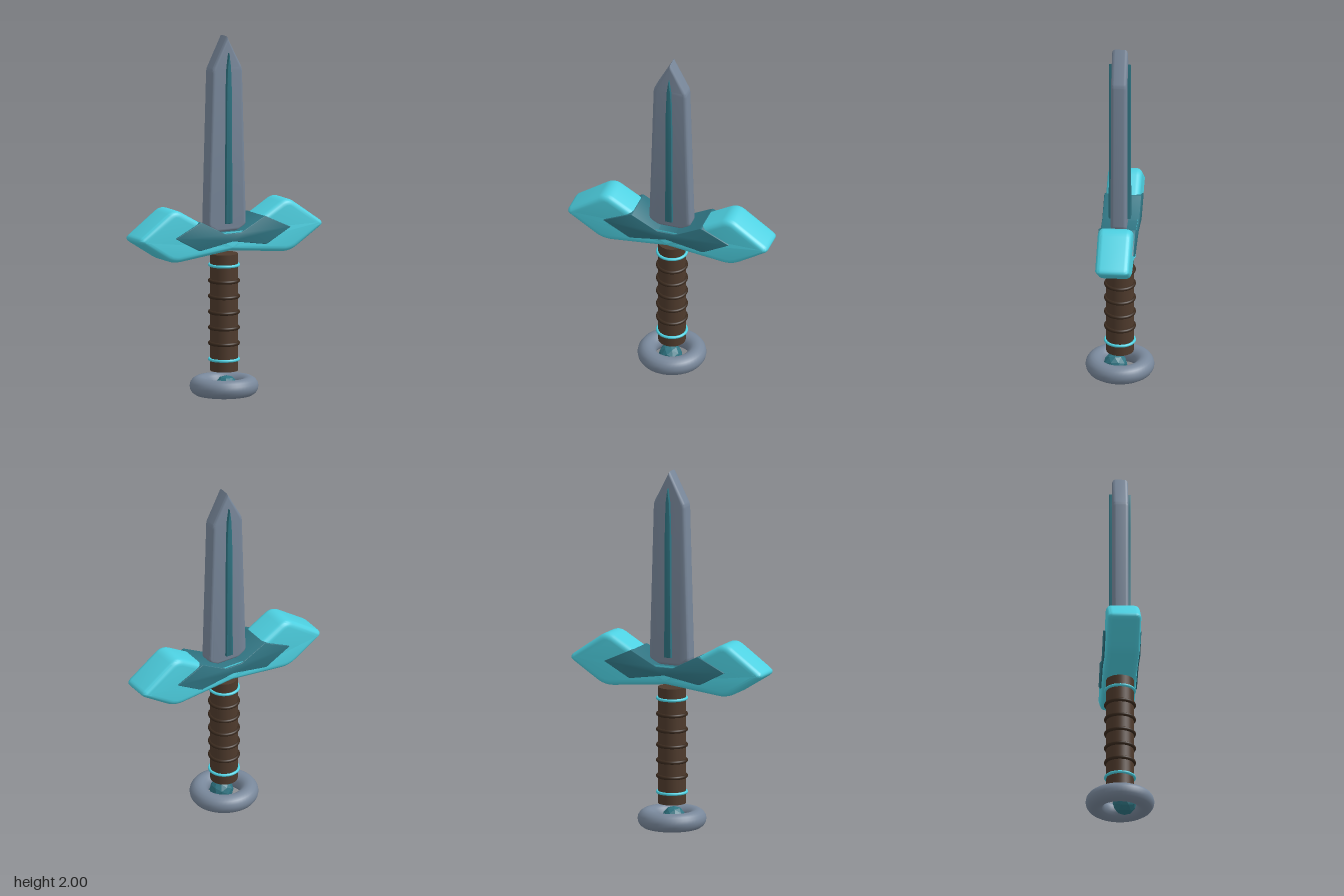
import * as THREE from 'three';
import { toCreasedNormals } from 'three/addons/utils/BufferGeometryUtils.js';

const mat = (color) => new THREE.MeshStandardMaterial({ color });
const STEEL = mat(0x78879a), CYAN = mat(0x4dd0e1), TEAL = mat(0x2f7482);
const LEATHER = mat(0x4e3a2c), CORD = mat(0x3a2a1e);

// Mirror a right-hand half outline (bottom to top) across x = 0.
function mirrored(half) {
  const left = half.filter((p) => p[0] > 0).reverse().map(([x, y, r]) => [-x, y, r]);
  return [...half, ...left];
}

// Closed outline of [x, y, cornerRadius] points.
function outline(points) {
  const shape = new THREE.Shape();
  const v = points.map(([x, y]) => new THREE.Vector2(x, y));
  points.forEach(([, , r = 0], i) => {
    const p = v[i], prev = v[(i + v.length - 1) % v.length], next = v[(i + 1) % v.length];
    const a = prev.clone().sub(p).setLength(r).add(p);
    const b = next.clone().sub(p).setLength(r).add(p);
    if (i === 0) shape.moveTo(a.x, a.y);
    else shape.lineTo(a.x, a.y);
    if (r > 0) shape.quadraticCurveTo(p.x, p.y, b.x, b.y);
  });
  shape.closePath();
  return shape;
}

// Slab centred on z = 0 whose bevel stays inside the outline.
function slab(name, half, halfDepth, bevel, material, crease = 0.6) {
  const geo = new THREE.ExtrudeGeometry(outline(mirrored(half)), {
    depth: 2 * (halfDepth - bevel), curveSegments: 6,
    bevelEnabled: bevel > 0, bevelThickness: bevel, bevelSize: bevel,
    bevelOffset: -bevel, bevelSegments: 5,
  });
  geo.translate(0, 0, bevel - halfDepth);
  const mesh = new THREE.Mesh(toCreasedNormals(geo, crease), material);
  mesh.name = name;
  return mesh;
}

function ring(name, radius, tube, y, material) {
  const mesh = new THREE.Mesh(new THREE.TorusGeometry(radius, tube, 16, 48), material);
  mesh.rotation.x = Math.PI / 2;
  mesh.position.y = y;
  mesh.name = name;
  return mesh;
}

export function createModel() {
  const sword = new THREE.Group();
  sword.name = 'sword';

  // Blade with a tapering inlay through both faces
  sword.add(slab('blade',
    [[0, 0.925], [0.07, 0.925, 0.01], [0.12, 0.955, 0.02], [0.095, 1.82, 0.02], [0, 2]],
    0.043, 0.018, STEEL));
  sword.add(slab('bladeInlay',
    [[0, 0.97], [0.02, 0.97], [0.016, 1.7], [0.011, 1.83], [0, 1.91]],
    0.06, 0.004, TEAL));

  // Winged crossguard and its dark panel
  sword.add(slab('guard',
    [[0, 0.825], [0.37, 0.785, 0.055], [0.59, 0.925, 0.04], [0.355, 1.09, 0.05], [0, 0.885]],
    0.093, 0.032, CYAN));
  sword.add(slab('guardPanel',
    [[0, 0.88], [0.21, 0.845, 0.01], [0.362, 0.927, 0.005], [0.2, 1.003, 0.01], [0.05, 0.925]],
    0.101, 0.004, TEAL));

  // Grip, cord wraps and end bands
  const grip = new THREE.Mesh(new THREE.CylinderGeometry(0.075, 0.075, 0.645, 32), LEATHER);
  grip.position.y = 0.477;
  grip.name = 'grip';
  sword.add(grip);
  for (let i = 0; i < 5; i++) sword.add(ring('cordWrap', 0.077, 0.01, 0.306 + i * 0.086, CORD));
  for (const y of [0.217, 0.737]) sword.add(ring('gripBand', 0.079, 0.008, y, CYAN));

  // Ring pommel with a faceted gem
  sword.add(ring('pommelRing', 0.136, 0.051, 0.07, STEEL));
  const gemMaterial = TEAL.clone();
  gemMaterial.flatShading = true;
  const gem = new THREE.Mesh(new THREE.IcosahedronGeometry(0.065, 1), gemMaterial);
  gem.position.set(0, 0.066, 0.025);
  gem.name = 'pommelGem';
  sword.add(gem);

  return sword;
}
